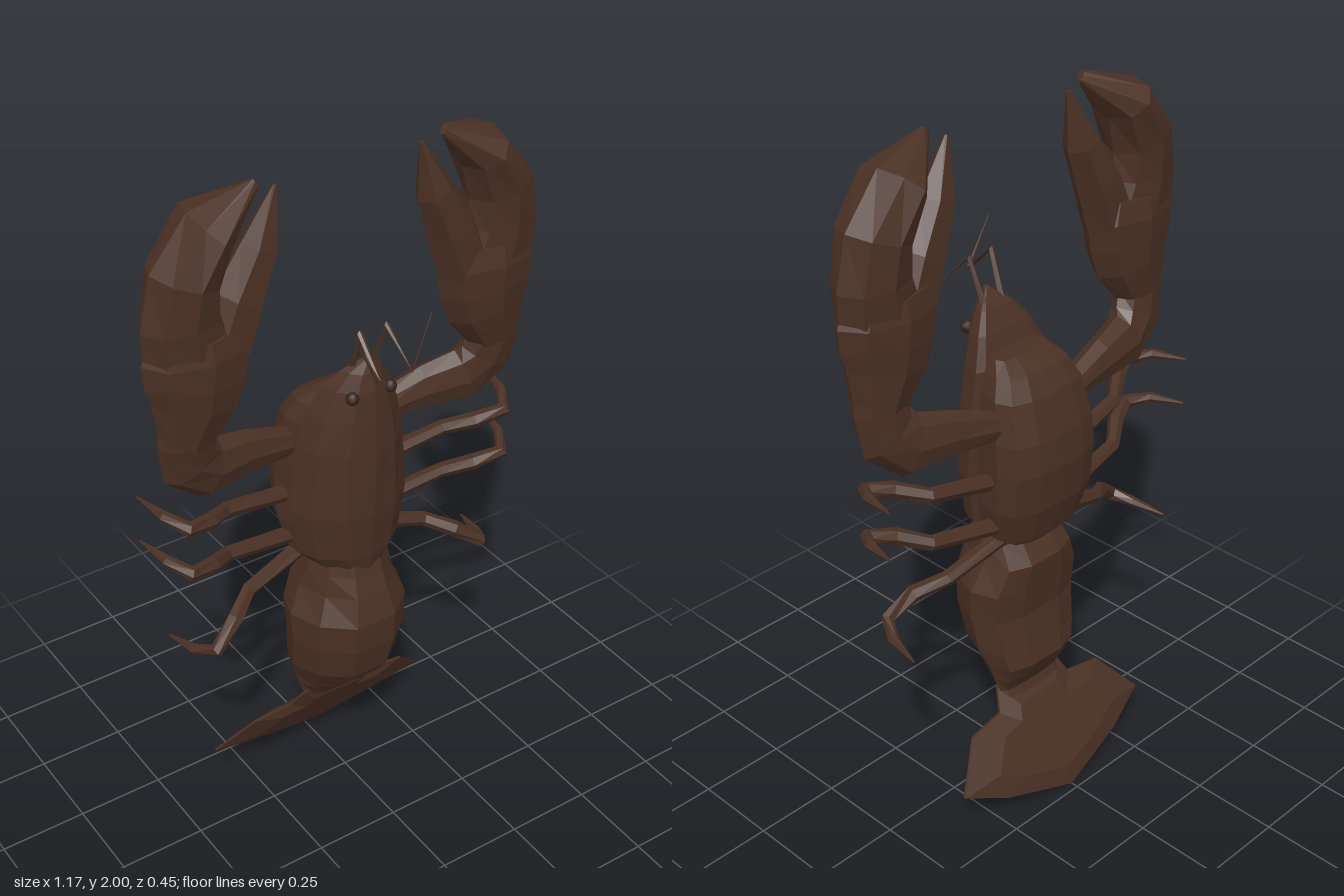
import * as THREE from 'three';

const shellBrown = new THREE.MeshStandardMaterial({ color: 0x4a3024 });
shellBrown.name = 'shellBrown';
const eyeBrown = new THREE.MeshStandardMaterial({ color: 0x35221a });
eyeBrown.name = 'eyeBrown';

const V = (x, y, z) => new THREE.Vector3(x, y, z);

// Faceted skin over a stack of equal-sized rings, closed at both ends
function loft(rings) {
  const tris = [];
  const n = rings[0].length;
  for (let i = 0; i + 1 < rings.length; i++) {
    for (let j = 0; j < n; j++) {
      const k = (j + 1) % n;
      const a = rings[i][j], b = rings[i][k], c = rings[i + 1][k], d = rings[i + 1][j];
      tris.push([a, b, c], [a, c, d]);
    }
  }
  const cap = (ring, flip) => {
    const mid = V(0, 0, 0);
    ring.forEach((p) => mid.addScaledVector(p, 1 / n));
    ring.forEach((p, j) => {
      const q = ring[(j + 1) % n];
      tris.push(flip ? [mid, q, p] : [mid, p, q]);
    });
  };
  cap(rings[0], true);
  cap(rings[rings.length - 1], false);
  // Turn the faces outward if the enclosed volume is negative
  let volume = 0;
  tris.forEach(([a, b, c]) => { volume += a.dot(b.clone().cross(c)); });
  if (volume < 0) tris.forEach((t) => t.reverse());
  const geo = new THREE.BufferGeometry().setFromPoints(tris.flat());
  geo.computeVertexNormals();
  return geo;
}

// Body section: rows are [y, half width, front z, back z];
// half profile runs front to back as [x share, depth share]
function bodyPart(rows, half) {
  const profile = [...half, ...half.filter((p) => p[0] > 0).reverse().map(([u, v]) => [-u, v])];
  return loft(rows.map(([y, w, zf, zb]) =>
    profile.map(([u, v]) => V(u * w, y, zb + (zf - zb) * v))));
}

// Tapered limb: rows are [x, y, z, width radius, depth radius along ref]
function limb(rows, ref, sides, side) {
  const pts = rows.map(([x, y, z]) => V(x * side, y, z));
  return loft(rows.map(([, , , w, d = w], i) => {
    const before = pts[Math.max(i - 1, 0)], after = pts[Math.min(i + 1, pts.length - 1)];
    const tangent = after.clone().sub(before).normalize();
    const across = tangent.clone().cross(ref).normalize();
    const deep = across.clone().cross(tangent).normalize();
    return Array.from({ length: sides }, (_, j) => {
      const a = (j / sides) * Math.PI * 2;
      return pts[i].clone()
        .addScaledVector(across, Math.cos(a) * w)
        .addScaledVector(deep, Math.sin(a) * d);
    });
  }));
}

export function createModel() {
  const model = new THREE.Group();
  model.name = 'lobster';
  const add = (name, geo, mat = shellBrown) => {
    const mesh = new THREE.Mesh(geo, mat);
    mesh.name = name;
    model.add(mesh);
    return mesh;
  };

  // Pointed front shell with a centre ridge
  add('carapace', bodyPart([
    [0.80, 0.10, 0.11, 0], [0.86, 0.155, 0.125, -0.01], [1.0, 0.175, 0.14, -0.01],
    [1.2, 0.158, 0.145, -0.01], [1.3, 0.132, 0.142, 0], [1.38, 0.095, 0.135, 0.03],
    [1.43, 0.058, 0.125, 0.06], [1.475, 0.004, 0.112, 0.1],
  ], [[0, 1], [0.45, 0.88], [0.86, 0.5], [1, 0.08], [0.8, 0]]));

  // Rounded block behind the shell
  add('thorax', bodyPart([
    [0.80, 0.10, 0.05, -0.11], [0.83, 0.14, 0.05, -0.14], [0.93, 0.163, 0.04, -0.168],
    [1.05, 0.165, 0.03, -0.18], [1.14, 0.162, 0.03, -0.17], [1.25, 0.145, 0.03, -0.137],
    [1.305, 0.12, 0.03, -0.105], [1.335, 0.09, 0.03, -0.05],
  ], [[0.5, 1], [0.9, 0.8], [1, 0.4], [0.88, 0.13], [0.5, 0.02], [0, 0]]));

  // Bulging abdomen narrowing to the tail
  add('abdomen', bodyPart([
    [0.85, 0.11, 0.10, -0.06], [0.79, 0.125, 0.115, -0.075], [0.73, 0.14, 0.135, -0.12],
    [0.65, 0.178, 0.155, -0.11], [0.56, 0.175, 0.15, -0.10], [0.45, 0.162, 0.12, -0.115],
    [0.40, 0.145, 0.08, -0.125], [0.35, 0.13, 0.035, -0.10], [0.30, 0.112, -0.02, -0.07],
    [0.26, 0.11, -0.05, -0.085],
  ], [[0.35, 1], [0.8, 0.75], [1, 0.4], [0.85, 0.1], [0.4, 0]]));

  // Tail fan: a sloping plate, thick in the middle with a thin rim
  const fanHalf = [[0.115, 0.31], [0.14, 0.25], [0.255, 0.235], [0.355, 0.12], [0.22, 0.06]];
  const fan = [...fanHalf, [0, 0], ...fanHalf.slice().reverse().map(([x, y]) => [-x, y])];
  const fanRing = (scale, offset) => fan.map(([x, y]) => {
    const h = 0.16 + (y - 0.16) * scale;
    return V(x * scale, h, -0.045 - 0.6 * (0.3 - h) + offset);
  });
  add('tailFan', loft([
    fanRing(0.65, 0.025), fanRing(1, 0.004), fanRing(1, -0.004), fanRing(0.65, -0.025),
  ]));

  const refX = V(1, 0, 0), refY = V(0, 1, 0), refZ = V(0, 0, 1);
  const legs = {
    frontLeg: [[0.12, 1.01, -0.065, 0.024], [0.35, 1.052, -0.04, 0.021], [0.425, 1.08, 0.015, 0.023],
      [0.50, 1.1, 0.04, 0.02], [0.538, 1.12, -0.02, 0.015], [0.56, 1.13, -0.12, 0.003]],
    middleLeg: [[0.12, 0.87, -0.065, 0.024], [0.35, 0.908, -0.04, 0.021], [0.425, 0.94, 0.015, 0.023],
      [0.50, 0.96, 0.04, 0.02], [0.538, 0.98, -0.02, 0.015], [0.56, 0.99, -0.12, 0.003]],
    rearLeg: [[0.08, 0.83, -0.06, 0.024], [0.29, 0.767, -0.035, 0.021], [0.365, 0.732, 0.015, 0.023],
      [0.44, 0.675, 0.04, 0.02], [0.475, 0.655, -0.02, 0.015], [0.495, 0.645, -0.12, 0.003]],
  };

  for (const side of [1, -1]) {
    const label = side > 0 ? 'Left' : 'Right';

    // Claw arm with a broad rounded elbow, then palm and the two pincers
    add('clawArm' + label, limb([
      [0.11, 1.175, -0.065, 0.036, 0.038], [0.28, 1.208, -0.045, 0.065, 0.045],
      [0.40, 1.218, -0.025, 0.086, 0.052], [0.46, 1.27, -0.01, 0.088, 0.054],
      [0.478, 1.35, 0, 0.076, 0.06], [0.475, 1.4, 0, 0.075, 0.06],
    ], refZ, 8, side));
    add('palm' + label, limb([
      [0.478, 1.34, 0, 0.074, 0.06], [0.445, 1.445, 0.005, 0.124, 0.078],
      [0.437, 1.51, 0.007, 0.144, 0.086], [0.433, 1.585, 0.007, 0.153, 0.09],
      [0.435, 1.64, 0.007, 0.13, 0.08],
    ], refZ, 8, side));
    add('pincer' + label, limb([
      [0.455, 1.58, 0.007, 0.125, 0.08], [0.474, 1.68, 0.007, 0.108, 0.085],
      [0.462, 1.79, 0.007, 0.092, 0.095], [0.395, 1.905, 0.007, 0.066, 0.104],
      [0.268, 1.988, 0.032, 0.016, 0.01],
    ], refZ, 8, side));
    add('thumb' + label, limb([
      [0.36, 1.58, 0.01, 0.08, 0.07], [0.315, 1.7, 0.012, 0.072, 0.065],
      [0.256, 1.82, 0.015, 0.052, 0.05], [0.21, 1.965, 0.02, 0.005, 0.006],
    ], refZ, 6, side));

    // Walking legs with tips hooked backward
    for (const name in legs) add(name + label, limb(legs[name], refY, 6, side));

    // Zigzag feeler and eye
    add('antenna' + label, limb([
      [0.03, 1.41, 0.07, 0.011], [0.04, 1.56, 0.125, 0.008],
      [0.05, 1.47, 0.22, 0.006], [0.115, 1.61, 0.208, 0.001],
    ], refX, 4, side));
    add('eye' + label, new THREE.IcosahedronGeometry(0.018, 1), eyeBrown)
      .position.set(0.058 * side, 1.372, 0.118);
  }
  return model;
}
